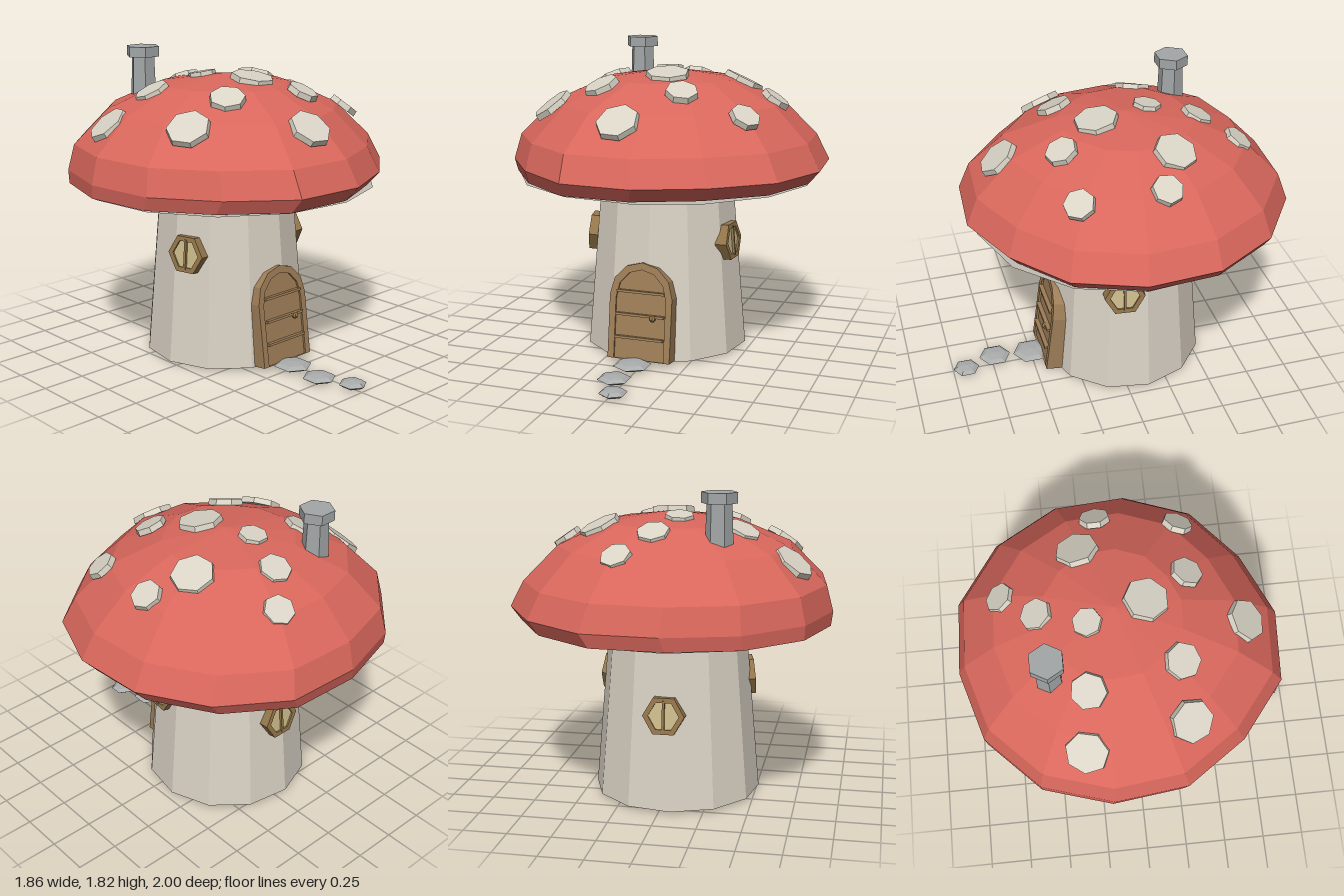
import * as THREE from 'three';

const mat = (name, color, side = THREE.FrontSide) =>
  new THREE.MeshStandardMaterial({ name, color, side, flatShading: true });

const SIDES = 14;
const CX = -0.025, CZ = -0.085; // stem axis
// cap profile: radius, height, x shift, z shift
const PROFILE = [
  [0, 1.055, -0.03, -0.09], [0.9, 1.05, -0.03, -0.09], [0.94, 1.13, 0, -0.07], [0.88, 1.28, -0.02, -0.08],
  [0.68, 1.48, -0.02, -0.09], [0.38, 1.615, -0.01, -0.1], [0, 1.67, 0, -0.1],
];
// uneven rim, as a factor for each corner
const RIM = [0.995, 0.987, 0.95, 0.987, 1.015, 0.97, 0.993, 1, 1.02, 1.018, 0.998, 1.035, 1.02, 1.01];

function capGeometry() {
  const pos = [], index = [];
  PROFILE.forEach(([r, y, sx, sz]) => {
    for (let k = 0; k < SIDES; k++) {
      const a = (k / SIDES) * Math.PI * 2 + 0.12;
      pos.push(sx + Math.cos(a) * r * RIM[k], y, sz + Math.sin(a) * r * RIM[k]);
    }
  });
  for (let j = 0; j < PROFILE.length - 1; j++) {
    for (let k = 0; k < SIDES; k++) {
      const a = j * SIDES + k, b = j * SIDES + ((k + 1) % SIDES);
      const c = a + SIDES, d = b + SIDES;
      if (j > 0) index.push(a, c, b);
      if (j < PROFILE.length - 2) index.push(b, c, d);
      else if (j === 0) index.push(b, c, d);
    }
  }
  const g = new THREE.BufferGeometry();
  g.setAttribute('position', new THREE.Float32BufferAttribute(pos, 3));
  g.setIndex(index);
  g.computeVertexNormals();
  return g;
}

// height of the cap at a distance from its axis
function capHeight(r) {
  for (let j = PROFILE.length - 1; j > 2; j--) {
    const [r0, y0] = PROFILE[j], [r1, y1] = PROFILE[j - 1];
    if (r <= r1) return y0 + ((r - r0) / (r1 - r0)) * (y1 - y0);
  }
  return 1.13;
}

function arch(w, straight, h) {
  const s = new THREE.Shape();
  s.moveTo(-w, 0);
  s.lineTo(w, 0);
  s.lineTo(w, straight);
  s.absellipse(0, straight, w, h - straight, 0, Math.PI, false);
  return s;
}

export function createModel() {
  const model = new THREE.Group();
  model.name = 'mushroomHouse';

  const red = mat('capRed', 0xd9675c);
  const spotCream = mat('spotCream', 0xd8d3c5);
  const stemCream = mat('stemCream', 0xdad2c5);
  const gillGrey = mat('gillGrey', 0xc2beb4);
  const doorBrown = mat('doorBrown', 0x9f7f58);
  const frameBrown = mat('windowFrameBrown', 0x97784c);
  const paneYellow = mat('paneYellow', 0xd0c08e);
  const chimneyGrey = mat('chimneyGrey', 0xa3a7a7);
  const stoneGrey = mat('stoneGrey', 0xabacac);

  const add = (parent, name, geo, material, x = 0, y = 0, z = 0) => {
    const m = new THREE.Mesh(geo, material);
    m.name = name;
    m.position.set(x, y, z);
    parent.add(m);
    return m;
  };

  // stem, underside and cap
  add(model, 'stem', new THREE.CylinderGeometry(0.405, 0.49, 0.98, 12), stemCream, CX, 0.505, CZ)
    .rotation.y = 0.09;
  add(model, 'capUnderside', new THREE.CylinderGeometry(0.885, 0.4, 0.065, SIDES), gillGrey, CX, 1.008, CZ)
    .rotation.y = Math.PI / 2 - 0.12;
  add(model, 'cap', capGeometry(), red);

  // spots: x, z, radius
  const spots = [
    [-0.71, -0.31, 0.125], [-0.425, -0.27, 0.105], [0.03, -0.515, 0.095], [0.19, -0.71, 0.09],
    [-0.065, -0.245, 0.085], [0.39, -0.265, 0.125], [0.615, -0.15, 0.09], [0.035, 0.08, 0.13],
    [-0.61, 0.26, 0.125], [-0.31, 0.24, 0.105], [0.2, 0.32, 0.095], [0.56, 0.315, 0.09], [-0.06, 0.625, 0.125],
  ];
  const up = new THREE.Vector3(0, 1, 0);
  spots.forEach(([x, z, r], i) => {
    const dx = x + 0.01, dz = z + 0.085;
    const n = new THREE.Vector3(dx * 1.1, 1, dz * 1.1).normalize();
    const y = capHeight(Math.hypot(dx, dz) * 1.01);
    const spot = add(model, 'spot', new THREE.CylinderGeometry(r * 0.96, r, 0.035, 7), spotCream, x, y, z);
    spot.quaternion.setFromUnitVectors(up, n);
    spot.rotateY(i * 0.7);
    spot.position.addScaledVector(n, 0.006);
  });

  // chimney
  const chimney = new THREE.Group();
  chimney.name = 'chimney';
  chimney.position.set(-0.325, 0, -0.475);
  chimney.rotation.y = Math.PI / 6;
  model.add(chimney);
  add(chimney, 'chimneyShaft', new THREE.CylinderGeometry(0.07, 0.08, 0.3, 6), chimneyGrey, 0, 1.62, 0);
  add(chimney, 'chimneyTop', new THREE.CylinderGeometry(0.1, 0.1, 0.06, 6), chimneyGrey, 0, 1.79, 0);

  // door, leaning back along the wall
  const door = new THREE.Group();
  door.name = 'door';
  door.position.set(-0.02, 0.03, 0.445);
  door.rotation.x = -0.135;
  model.add(door);
  const outer = arch(0.19, 0.375, 0.572);
  outer.holes.push(arch(0.152, 0.36, 0.53));
  const extrude = (shape, depth) =>
    new THREE.ExtrudeGeometry(shape, { depth, bevelEnabled: false, curveSegments: 3 });
  add(door, 'doorFrame', extrude(outer, 0.1), doorBrown, 0, 0, -0.1);
  add(door, 'doorPanel', extrude(arch(0.152, 0.36, 0.53), 0.088), doorBrown, 0, 0, -0.1);
  [0.13, 0.265, 0.4].forEach((y) =>
    add(door, 'doorBar', new THREE.BoxGeometry(0.29, 0.014, 0.03), doorBrown, 0, y, 0));
  add(door, 'doorKnob', new THREE.SphereGeometry(0.02, 7, 5), frameBrown, 0.08, 0.255, 0.012);

  // round windows: x, y, z, yaw
  const ring = new THREE.Shape().absarc(0, 0, 0.12, 0, Math.PI * 2);
  ring.holes.push(new THREE.Path().absarc(0, 0, 0.088, 0, Math.PI * 2));
  [
    [0.39, 0.68, 0.015, Math.PI / 2 - 0.1],
    [-0.43, 0.68, 0.04, -Math.PI / 2 + 0.22],
    [-0.03, 0.57, -0.522, Math.PI],
  ].forEach(([x, y, z, yaw]) => {
    const w = new THREE.Group();
    w.name = 'window';
    w.position.set(x, y, z);
    w.rotation.set(-0.085, yaw, 0, 'YXZ');
    model.add(w);
    add(w, 'windowFrame', extrude(ring, 0.07), frameBrown, 0, 0, -0.035);
    add(w, 'windowPane', new THREE.CylinderGeometry(0.09, 0.09, 0.05, 12), paneYellow)
      .rotation.x = Math.PI / 2;
    add(w, 'windowBar', new THREE.BoxGeometry(0.014, 0.176, 0.02), frameBrown, 0, 0, 0.03);
  });

  // stepping stones: x, z, radius
  [[-0.035, 0.5, 0.112], [-0.055, 0.728, 0.097], [0.015, 0.92, 0.08]].forEach(([x, z, r]) => {
    const stone = add(model, 'steppingStone', new THREE.SphereGeometry(1, 6, 4), stoneGrey, x, 0.023, z);
    stone.scale.set(r, 0.023, r);
    stone.rotation.y = Math.PI / 6;
  });

  return model;
}
